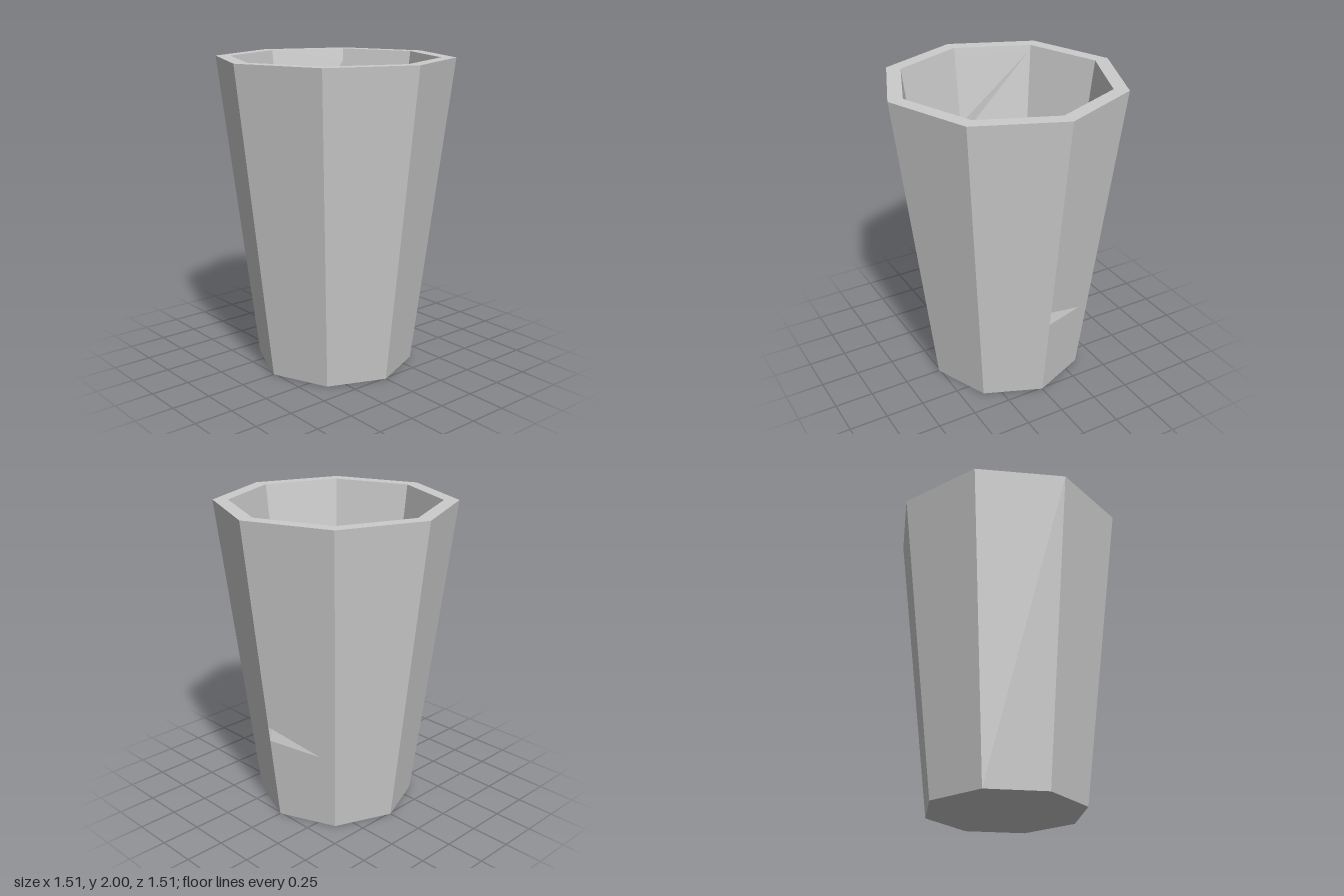
import * as THREE from 'three';

const SIDES = 8;
const FLOOR = 0.1;
const material = new THREE.MeshStandardMaterial({ color: 0xcccccc, flatShading: true, side: THREE.DoubleSide });

// Corner k of an octagon ring
function corner(k, r, y) {
  const a = (k / SIDES) * Math.PI * 2;
  return new THREE.Vector3(r * Math.cos(a), y, -r * Math.sin(a));
}

function meshFrom(name, points) {
  const geometry = new THREE.BufferGeometry().setFromPoints(points);
  geometry.computeVertexNormals();
  const mesh = new THREE.Mesh(geometry, material);
  mesh.name = name;
  return mesh;
}

// One flat wall panel, with an optional wedge-shaped chip bitten out of a side edge.
// chip: edge (u = 0 or 1), low and high (v on that edge), tip [u, v], push (radial scale)
function panel(k, lower, upper, inward, chip) {
  const at = (u, v) => {
    const a = corner(k, lower.r, lower.y).lerp(corner(k + 1, lower.r, lower.y), u);
    const b = corner(k, upper.r, upper.y).lerp(corner(k + 1, upper.r, upper.y), u);
    return a.lerp(b, v);
  };
  const outline = [[0, 0], [1, 0], [1, 1], [0, 1]];
  if (chip) {
    const low = [chip.edge, chip.low], high = [chip.edge, chip.high];
    if (chip.edge === 0) outline.push(high, chip.tip, low);
    else outline.splice(2, 0, low, chip.tip, high);
  }
  const contour = outline.map(([u, v]) => new THREE.Vector2(u, v));
  const points = [];
  const add = (a, b, c) => points.push(...(inward ? [a, c, b] : [a, b, c]));
  for (const tri of THREE.ShapeUtils.triangulateShape(contour, [])) {
    add(...tri.map((i) => at(...outline[i])));
  }
  if (chip) {
    // Sloping back and narrow ledge of the chip
    const low = at(chip.edge, chip.low), high = at(chip.edge, chip.high), tip = at(...chip.tip);
    const deep = (inward ? low : high).clone();
    deep.x *= chip.push;
    deep.z *= chip.push;
    const flip = chip.edge === 1;
    for (const [a, b] of [[low, deep], [deep, high]]) {
      if (flip) add(b, a, tip);
      else add(a, tip, b);
    }
    add(low, deep, high);
  }
  return points;
}

function wall(name, lower, upper, inward, chips) {
  const points = [];
  for (let k = 0; k < SIDES; k++) points.push(...panel(k, lower, upper, inward, chips[k]));
  return meshFrom(name, points);
}

// Flat octagon disc facing up or down
function disc(name, r, y, up) {
  const geometry = new THREE.CircleGeometry(r, SIDES).rotateX(up ? -Math.PI / 2 : Math.PI / 2).translate(0, y, 0);
  const mesh = new THREE.Mesh(geometry, material);
  mesh.name = name;
  return mesh;
}

export function createModel() {
  const cup = new THREE.Group();
  cup.name = 'cup';

  // Tapered outside with one small chip
  cup.add(wall('outerWall', { r: 0.51, y: 0 }, { r: 0.755, y: 2 }, false, {
    0: { edge: 0, low: 0.28, high: 0.33, tip: [0.77, 0.255], push: 0.94 },
  }));

  // Tapered inside with long thin cracks
  cup.add(wall('innerWall', { r: 0.415, y: FLOOR }, { r: 0.66, y: 2 }, true, {
    1: { edge: 0, low: 0.91, high: 0.96, tip: [0.98, 0.57], push: 1.03 },
    3: { edge: 1, low: 0.68, high: 0.73, tip: [0.02, 0.98], push: 1.03 },
    6: { edge: 1, low: 0.36, high: 0.38, tip: [0.03, 0.27], push: 1.01 },
  }));

  // Flat rim
  const rim = new THREE.Mesh(new THREE.RingGeometry(0.66, 0.755, SIDES).rotateX(-Math.PI / 2).translate(0, 2, 0), material);
  rim.name = 'rim';
  cup.add(rim);

  cup.add(disc('innerFloor', 0.415, FLOOR, true));
  cup.add(disc('base', 0.51, 0, false));
  return cup;
}
